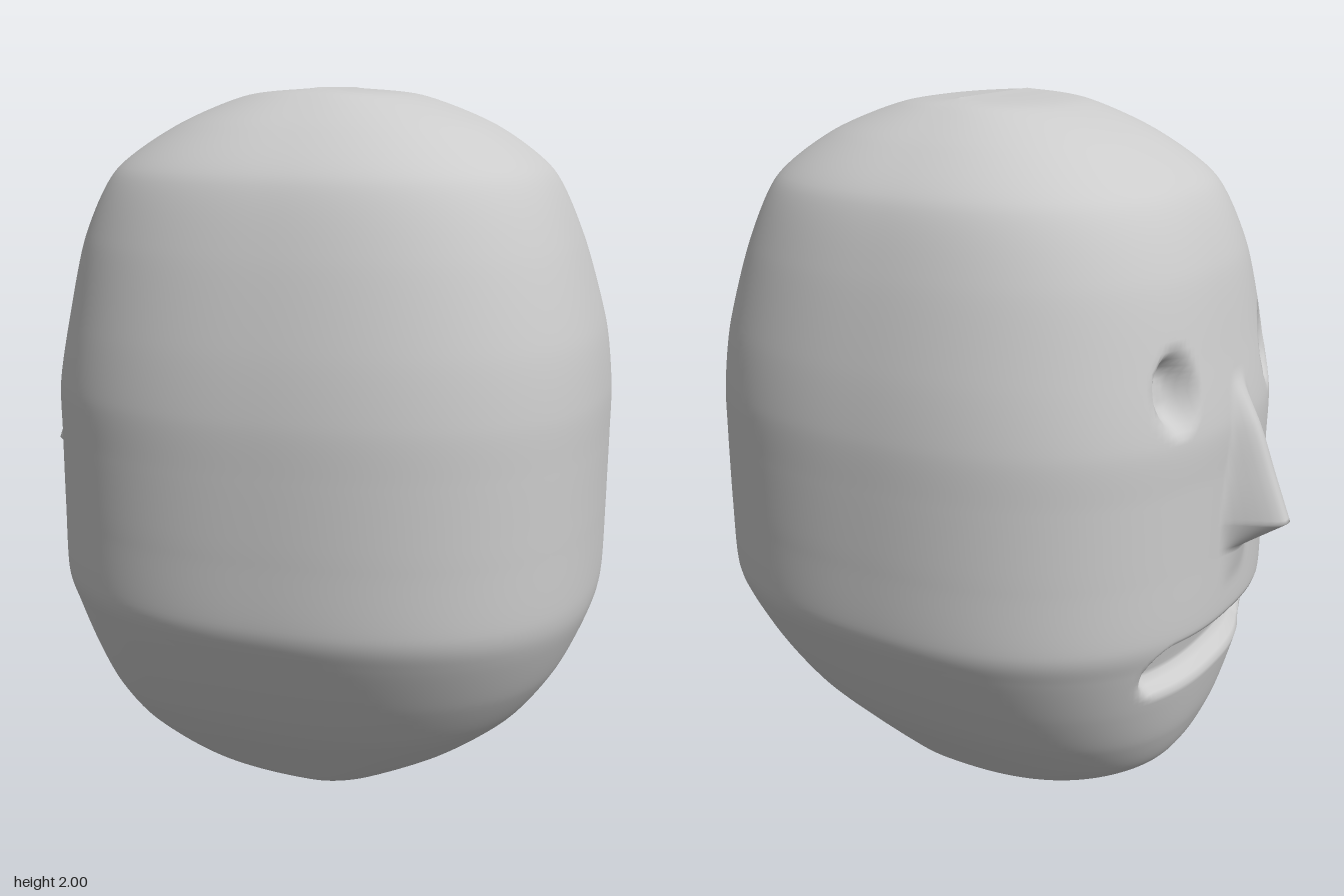
import * as THREE from 'three';
import { mergeVertices } from 'three/addons/utils/BufferGeometryUtils.js';

const { smoothstep, lerp } = THREE.MathUtils;
const AXIS_X = 0.07;
const ROUNDNESS = 2.45;

// Head outline from crown to chin: height, face x, back x, half depth in z
const PROFILE = [
  [2.0, 0.07, 0.07, 0.17],
  [1.98, -0.16, 0.29, 0.26],
  [1.9, -0.36, 0.5, 0.4],
  [1.78, -0.53, 0.66, 0.53],
  [1.6, -0.62, 0.75, 0.6],
  [1.37, -0.67, 0.82, 0.655],
  [1.2, -0.7, 0.843, 0.68],
  [1.06, -0.7, 0.845, 0.685],
  [0.93, -0.7, 0.845, 0.687],
  [0.84, -0.7, 0.845, 0.687],
  [0.66, -0.7, 0.843, 0.683],
  [0.57, -0.682, 0.825, 0.65],
  [0.42, -0.65, 0.76, 0.57],
  [0.28, -0.61, 0.66, 0.48],
  [0.15, -0.54, 0.5, 0.37],
  [0.05, -0.38, 0.31, 0.28],
  [0.015, -0.13, 0.18, 0.22],
  [0.0, 0.07, 0.07, 0.16],
];

// Nose ridge: height, projection from the face
const NOSE = [[1.31, 0], [1.16, 0.06], [0.93, 0.15], [0.84, 0.02], [0.74, 0]];

function noseHeight(y, z) {
  for (let i = 0; i < NOSE.length - 1; i++) {
    const [y0, h0] = NOSE[i], [y1, h1] = NOSE[i + 1];
    if (y <= y0 && y >= y1) {
      const width = lerp(0.1, 0.055, smoothstep(y, 0.9, 1.3));
      return lerp(h0, h1, (y0 - y) / (y0 - y1)) * (1 - smoothstep(Math.abs(z), 0.01, width));
    }
  }
  return 0;
}

// Oval eye sockets, mirrored in z
function eyeDepth(y, z) {
  const r = Math.hypot((Math.abs(z) - 0.275) / 0.08, (y - 1.325) / 0.115);
  return 0.065 * (1 - smoothstep(r, 0.35, 1));
}

// Slot-shaped mouth with round ends
function mouthDepth(y, z) {
  const r = Math.hypot(Math.max(0, Math.abs(z) - 0.27), y - 0.555) / 0.09;
  return 0.065 * (1 - smoothstep(r, 0.4, 1));
}

function headGeometry(cols = 176, rows = 170) {
  const face = new THREE.CatmullRomCurve3(
    PROFILE.map(([y, f, , z]) => new THREE.Vector3(f, y, z)), false, 'catmullrom', 0.4);
  const back = new THREE.CatmullRomCurve3(
    PROFILE.map(([y, , b]) => new THREE.Vector3(b, y, 0)), false, 'catmullrom', 0.4);
  const positions = [], index = [];

  for (let i = 0; i <= rows; i++) {
    const f = face.getPoint(i / rows), b = back.getPoint(i / rows);
    for (let j = 0; j < cols; j++) {
      // Columns crowd together around the face
      const t = (j / cols) * Math.PI * 2;
      const a = t - 0.5 * Math.sin(t);
      const c = Math.cos(a), s = Math.sin(a);
      const r = (Math.abs(c) ** ROUNDNESS + Math.abs(s) ** ROUNDNESS) ** (-1 / ROUNDNESS);
      const reach = c > 0 ? AXIS_X - f.x : b.x - AXIS_X;
      let x = AXIS_X - reach * r * c;
      const y = f.y, z = f.z * r * s;
      if (c > 0) x += eyeDepth(y, z) + mouthDepth(y, z) - noseHeight(y, z);
      positions.push(x, y, z);

      if (i < rows) {
        const p = i * cols + j, q = i * cols + (j + 1) % cols;
        index.push(p, p + cols, q, p + cols, q + cols, q);
      }
    }
  }
  const geometry = new THREE.BufferGeometry();
  geometry.setAttribute('position', new THREE.Float32BufferAttribute(positions, 3));
  geometry.setIndex(index);
  const welded = mergeVertices(geometry, 1e-5);
  welded.computeVertexNormals();
  return welded;
}

export function createModel() {
  const group = new THREE.Group();
  group.name = 'headModel';
  const head = new THREE.Mesh(headGeometry(), new THREE.MeshStandardMaterial({ color: 0xcccccc }));
  head.name = 'head';
  group.add(head);
  return group;
}
